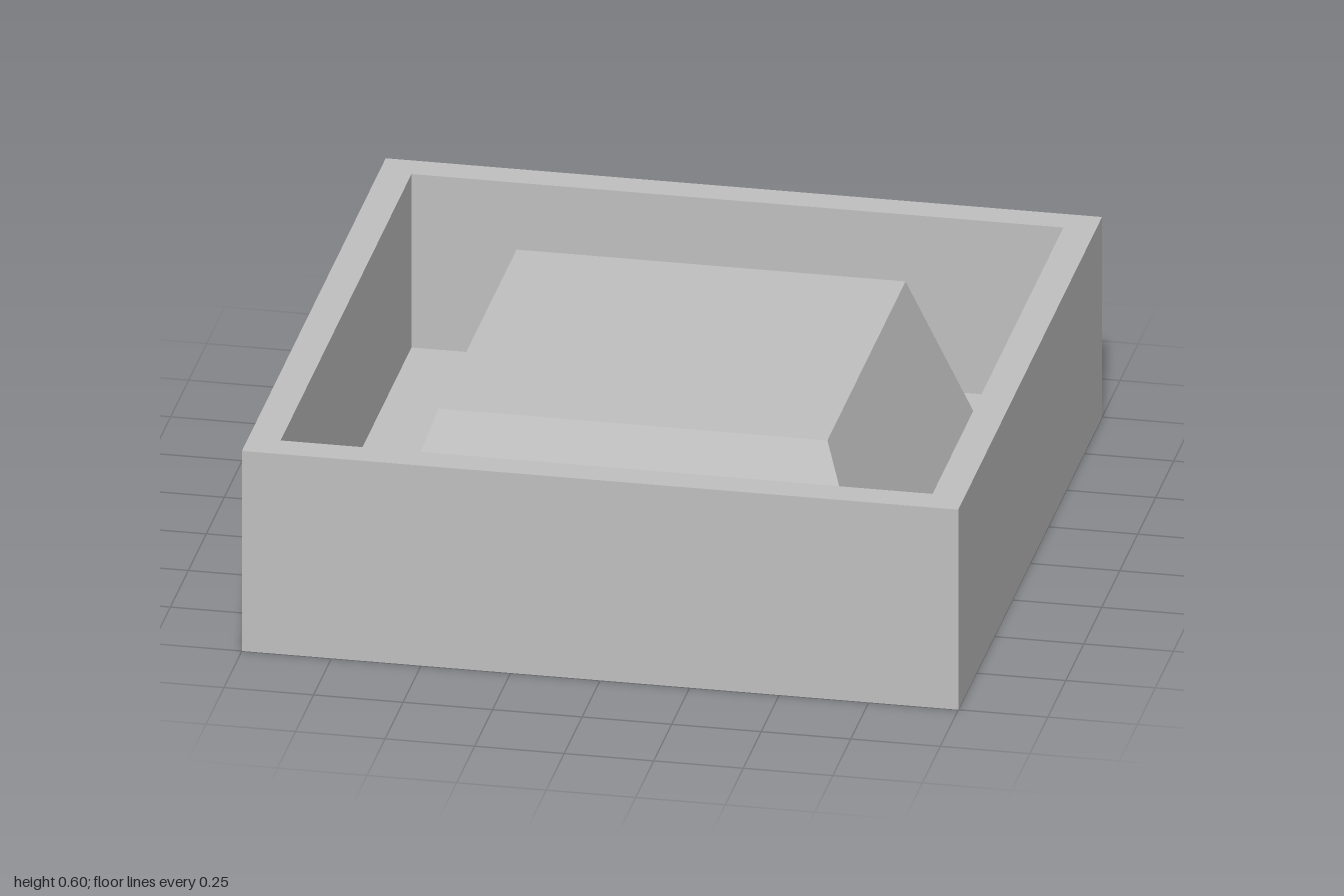
import * as THREE from 'three';

// Square turned solid: profile points are [half width, height], from the bottom outwards and up
function squareLathe(profile) {
  const points = profile.map(([half, y]) => new THREE.Vector2(half * Math.SQRT2, y));
  const geometry = new THREE.LatheGeometry(points, 4, Math.PI / 4).toNonIndexed();
  geometry.computeVertexNormals(); // flat faces
  return geometry;
}

export function createModel() {
  const group = new THREE.Group();
  group.name = 'trayWithPedestal';

  const grey = new THREE.MeshStandardMaterial({ color: 0xc0c0c0 });
  grey.name = 'grey';

  const floorY = 0.08;
  const footHalf = 0.716;

  // Open square tray with thin upright walls
  const tray = new THREE.Mesh(
    squareLathe([[0, 0], [1, 0], [1, 0.6], [0.91, 0.6], [0.91, floorY], [footHalf, floorY]]),
    grey
  );
  tray.name = 'tray';

  // Tapered block rising from the tray floor to just below the rim
  const pedestal = new THREE.Mesh(
    squareLathe([[footHalf, floorY], [0.543, 0.567], [0, 0.567]]),
    grey
  );
  pedestal.name = 'pedestal';

  group.add(tray, pedestal);
  return group;
}
